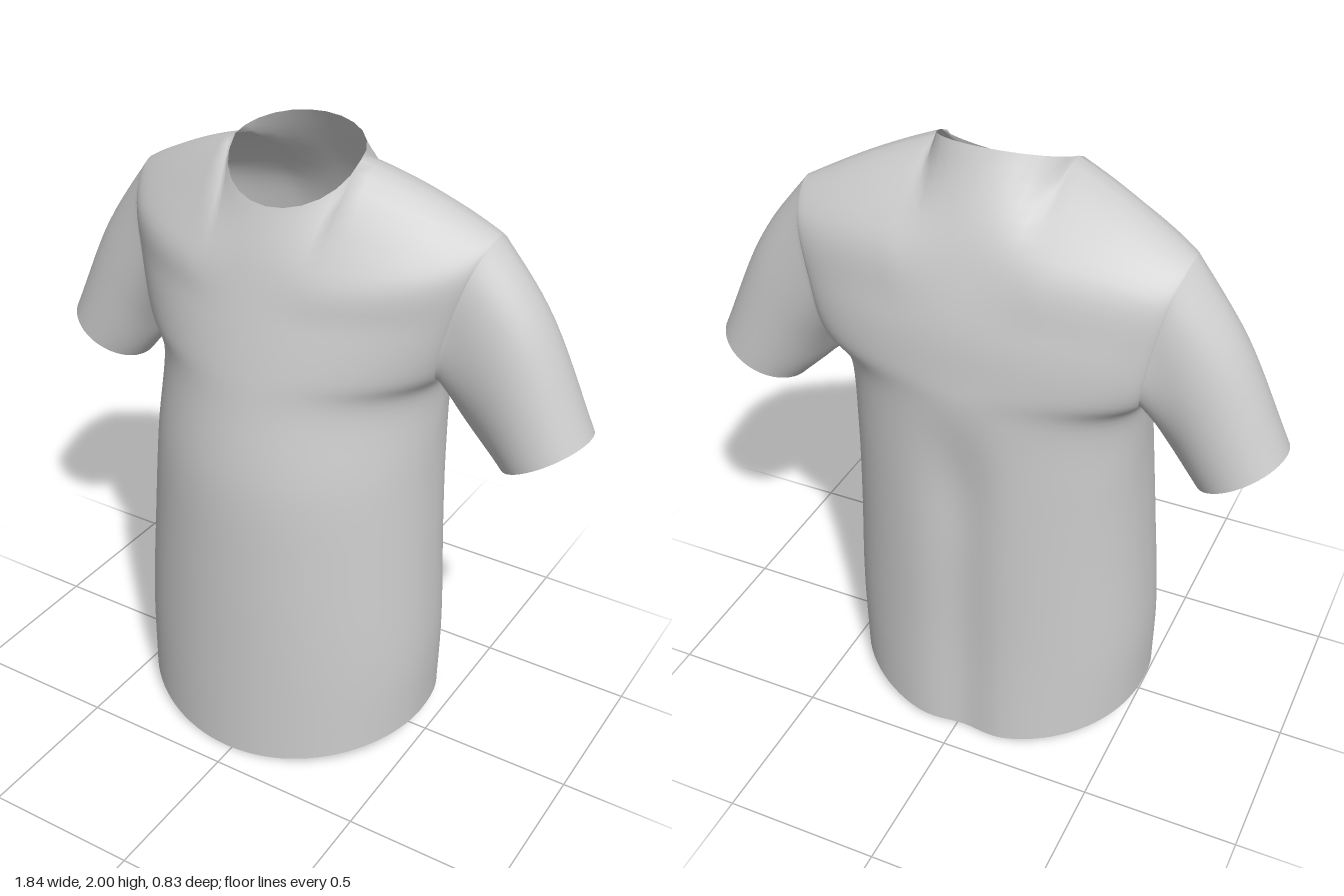
import * as THREE from 'three';

const { lerp, smoothstep } = THREE.MathUtils;
const V = (x, y, z) => new THREE.Vector3(x, y, z);

const U = 24;            // columns from the centre line to the side edge
const SEG = 6;           // grid rows between two control rows
const NECK = 0.25;       // share of the columns that end at the neckline
const ARMPIT = 4;        // control row where the side seam opens into the armhole
const SLEEVE = 14;       // rings along a sleeve

// Control rows, hem to chest:
// front centre y, z | back centre y, z | edge x, y, front z, back z | fullness power
const ROWS = [
  [0, 0.42, 0, -0.425, 0.5, 0.075, 0, 0, 1],
  [0.35, 0.41, 0.35, -0.41, 0.505, 0.35, -0.01, -0.01, 1],
  [0.7, 0.4, 0.7, -0.405, 0.485, 0.7, -0.03, -0.03, 1],
  [1, 0.385, 1, -0.4, 0.47, 1, -0.06, -0.06, 1],
  [1.25, 0.34, 1.25, -0.395, 0.475, 1.25, -0.1, -0.1, 1.1],
  [1.37, 0.315, 1.38, -0.39, 0.5, 1.36, 0.03, -0.25, 1.4],
  [1.52, 0.275, 1.56, -0.365, 0.535, 1.53, 0.045, -0.26, 1.6],
  [1.68, 0.225, 1.78, -0.29, 0.575, 1.69, 0.01, -0.22, 1.6],
];
const R = ROWS.length * SEG;
const J0 = ARMPIT * SEG;

// Point on a control row; u runs 0 (centre) to 1 (side edge)
function rowPoint(row, u, back) {
  const [yF, zF, yB, zB, x, y, ef, eb, p] = row;
  const s = Math.sin(u * Math.PI / 2), c = Math.max(0, Math.cos(u * Math.PI / 2));
  const edge = back ? eb : ef;
  let z = lerp(edge, back ? zB : zF, Math.pow(c, back ? p * 0.85 : p));
  // shallow groove down the lower back
  if (back && p <= 1) z += 0.03 * Math.exp(-Math.pow(x * s / 0.1, 2));
  return V(x * s, lerp(back ? yB : yF, y, s * s), z);
}

// Top row: neckline, then shoulder line
function topPoint(u, back) {
  if (u <= NECK) {
    const a = u / NECK * Math.PI / 2, c = Math.cos(a);
    return V(0.21 * Math.sin(a), 1.945 + (back ? 0.055 : -0.125) * c, (back ? -0.165 : 0.165) * c);
  }
  const s0 = Math.sin(NECK * Math.PI / 2);
  const q = (Math.sin(u * Math.PI / 2) - s0) / (1 - s0);
  return V(lerp(0.21, 0.6, q), 1.945 - 0.125 * q - 0.05 * q * q, -0.1 * q);
}

// One column of the front and back panels, joined over the shoulder outside the neck
function column(u) {
  const half = (back) => [...ROWS.map((r) => rowPoint(r, u, back)), topPoint(u, back)];
  const curve = (pts) => new THREE.CatmullRomCurve3(pts, false, 'catmullrom', 0.5);
  const f = half(false), b = half(true);
  const front = [], back = [];
  const whole = u >= NECK ? curve([...f, ...b.slice(0, -1).reverse()]) : null;
  const cf = curve(f), cb = curve(b);
  for (let j = 0; j <= R; j++) {
    const t = j / R;
    front.push(whole ? whole.getPoint(t / 2) : cf.getPoint(t));
    back.push(whole ? whole.getPoint(1 - t / 2) : cb.getPoint(t));
    // close the side seam below the armhole
    if (u === 1 && j <= J0) {
      front[j].lerp(back[j], 0.5);
      back[j].copy(front[j]);
    }
  }
  return [front, back];
}

// Sleeve ring: bottom point, top point, angle around
function sleeveRing(bottom, top, phi) {
  const k = (1 - Math.cos(phi)) / 2;
  return V(lerp(bottom[0], top[0], k), lerp(bottom[1], top[1], k), -0.105 + 0.145 * Math.sin(phi));
}

export function createModel() {
  const positions = [], known = new Map();

  // Welded vertex; the body hangs slightly to one side
  const vertex = (p, side) => {
    const drift = (-0.02 + 0.012 * smoothstep(p.y, 1.2, 1.9)) * (1 - smoothstep(p.x, 0.5, 0.72));
    const q = [side * p.x + drift, Math.max(0, p.y), p.z];
    const key = q.map((n) => Math.round(n * 1e5)).join();
    if (!known.has(key)) {
      known.set(key, positions.length / 3);
      positions.push(...q);
    }
    return known.get(key);
  };
  const quad = (list, a, b, c, d, flip) => {
    const add = (i, j, k) => {
      if (i !== j && j !== k && i !== k) list.push(...(flip ? [i, k, j] : [i, j, k]));
    };
    add(a, b, c);
    add(a, c, d);
  };

  const columns = Array.from({ length: U + 1 }, (_, i) => column(i / U));
  const parts = { body: [], leftSleeve: [], rightSleeve: [] };

  for (const side of [1, -1]) {
    // Front and back panels
    for (const back of [0, 1]) {
      const at = (i, j) => vertex(columns[i][back][j], side);
      for (let i = 0; i < U; i++) {
        for (let j = 0; j < R; j++) {
          quad(parts.body, at(i, j), at(i + 1, j), at(i + 1, j + 1), at(i, j + 1), (side < 0) !== (back === 1));
        }
      }
    }

    // Sleeve grown out of the armhole loop
    const M = R - J0, strands = [];
    for (let k = 0; k <= 2 * M; k++) {
      const back = k > M ? 1 : 0, j = back ? R - (k - M) : J0 + k;
      const phi = Math.PI * k / M;
      const inner = columns[U - 3][back][j].clone();
      if (j === J0) inner.lerp(columns[U - 3][1 - back][j], 0.5);
      const curve = new THREE.CatmullRomCurve3([
        inner,
        columns[U][back][j],
        sleeveRing([0.56, 1.175], [0.765, 1.54], phi),
        sleeveRing([0.665, 1.06], [0.92, 1.21], phi),
      ], false, 'catmullrom', 0.5);
      strands.push(Array.from({ length: SLEEVE + 1 }, (_, r) =>
        vertex(r ? curve.getPoint((1 + 2 * r / SLEEVE) / 3) : columns[U][back][j], side)));
    }
    const list = side > 0 ? parts.leftSleeve : parts.rightSleeve;
    for (let k = 0; k < 2 * M; k++) {
      for (let r = 0; r < SLEEVE; r++) {
        quad(list, strands[k][r], strands[k][r + 1], strands[k + 1][r + 1], strands[k + 1][r], side < 0);
      }
    }
  }

  // Shared normals keep the armhole seams smooth
  const whole = new THREE.BufferGeometry();
  whole.setAttribute('position', new THREE.Float32BufferAttribute(positions, 3));
  whole.setIndex(Object.values(parts).flat());
  whole.computeVertexNormals();

  const material = new THREE.MeshStandardMaterial({ color: 0xcccccc, side: THREE.DoubleSide });
  const shirt = new THREE.Group();
  shirt.name = 'shirt';
  for (const [name, index] of Object.entries(parts)) {
    const geometry = new THREE.BufferGeometry();
    geometry.setAttribute('position', whole.getAttribute('position'));
    geometry.setAttribute('normal', whole.getAttribute('normal'));
    geometry.setIndex(index);
    const mesh = new THREE.Mesh(geometry, material);
    mesh.name = name;
    shirt.add(mesh);
  }
  return shirt;
}
